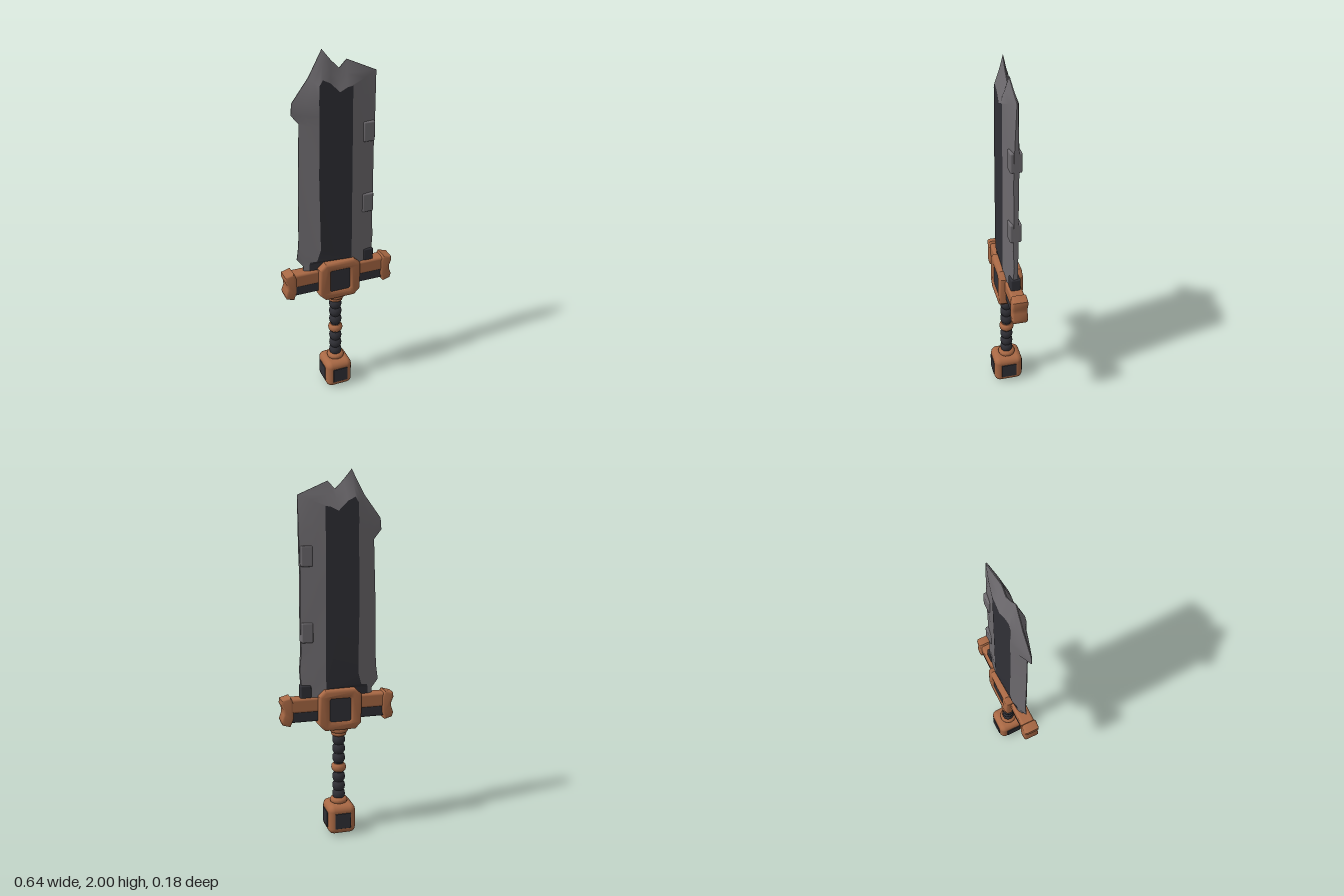
import * as THREE from 'three';
import { RoundedBoxGeometry } from 'three/addons/geometries/RoundedBoxGeometry.js';
import { toCreasedNormals } from 'three/addons/utils/BufferGeometryUtils.js';

const mat = (name, color) => {
  const m = new THREE.MeshStandardMaterial({ color });
  m.name = name;
  return m;
};

// Blade stations, clockwise: outer x, y, rim half thickness, inner x, y, z
const STATIONS = [
  [-0.20, 0.74, 0.004, -0.17, 0.74, 0.02],
  [-0.20, 0.83, 0.004, -0.17, 0.84, 0.02],
  [-0.235, 0.875, 0.002, -0.165, 0.855, 0.022],
  [-0.225, 0.95, 0.002, -0.13, 0.86, 0.034],
  [-0.222, 1.0, 0.002, -0.11, 0.93, 0.04],
  [-0.217, 1.3, 0.002, -0.115, 1.35, 0.04],
  [-0.205, 1.64, 0.002, -0.11, 1.62, 0.04],
  [-0.245, 1.69, 0.002, -0.11, 1.68, 0.04],
  [-0.24, 1.75, 0.002, -0.11, 1.75, 0.04],
  [-0.15, 1.87, 0.002, -0.108, 1.83, 0.04],
  [-0.08, 2.0, 0.001, -0.09, 1.86, 0.04],
  [-0.035, 1.945, 0.002, -0.05, 1.84, 0.04],
  [0.01, 1.9, 0.002, 0.0, 1.79, 0.04],
  [0.05, 1.94, 0.002, 0.04, 1.81, 0.04],
  [0.21, 1.87, 0.003, 0.07, 1.815, 0.04],
  [0.205, 1.6, 0.012, 0.07, 1.6, 0.04],
  [0.2, 1.45, 0.014, 0.07, 1.4, 0.04],
  [0.203, 1.25, 0.012, 0.07, 1.25, 0.04],
  [0.2, 1.05, 0.014, 0.07, 1.05, 0.04],
  [0.208, 0.95, 0.01, 0.07, 0.95, 0.04],
  [0.2, 0.85, 0.014, 0.07, 0.85, 0.04],
  [0.205, 0.74, 0.014, 0.07, 0.74, 0.04],
];

function indexed(pos, idx) {
  const g = new THREE.BufferGeometry();
  g.setAttribute('position', new THREE.Float32BufferAttribute(pos, 3));
  g.setIndex(idx);
  g.computeVertexNormals();
  return g;
}

// Hammered slope from the rim to the raised middle, on one side
function bevelGeometry(side) {
  const pos = [], idx = [], rows = 3;
  STATIONS.forEach(([ox, oy, t, ix, iy, iz], i) => {
    for (let r = 0; r < rows; r++) {
      const s = r / (rows - 1);
      const dent = r === 1 ? 0.003 * Math.sin(i * 2.4) : 0;
      pos.push(ox + (ix - ox) * s, oy + (iy - oy) * s, side * (t + (iz - t) * s + dent));
    }
    if (i === STATIONS.length - 1) return;
    for (let r = 0; r < rows - 1; r++) {
      const a = i * rows + r, b = a + 1, c = a + rows, d = c + 1;
      if (side > 0) idx.push(a, b, c, b, d, c);
      else idx.push(a, c, b, b, c, d);
    }
  });
  return indexed(pos, idx);
}

// Narrow edge joining the two slopes
function rimGeometry() {
  const pos = [], idx = [];
  STATIONS.forEach(([x, y, t], i) => {
    pos.push(x, y, -t, x, y, t);
    if (i === STATIONS.length - 1) return;
    const a = i * 2;
    idx.push(a, a + 1, a + 2, a + 1, a + 3, a + 2);
  });
  return toCreasedNormals(indexed(pos, idx), 0.6);
}

// Dark raised middle of the blade, on one side
function fullerGeometry(side) {
  const inner = STATIONS.map(s => s.slice(3)).reverse();
  const faces = THREE.ShapeUtils.triangulateShape(inner.map(p => new THREE.Vector2(p[0], p[1])), []);
  const idx = faces.flatMap(f => (side > 0 ? f : [f[0], f[2], f[1]]));
  return toCreasedNormals(indexed(inner.flatMap(p => [p[0], p[1], side * p[2]]), idx), 0.3);
}

// Rectangle with cut corners
function chamfered(Type, w, h, c) {
  const p = new Type();
  const x = w / 2, y = h / 2;
  p.setFromPoints([[-x + c, -y], [x - c, -y], [x, -y + c], [x, y - c], [x - c, y], [-x + c, y], [-x, y - c], [-x, -y + c]]
    .map(([a, b]) => new THREE.Vector2(a, b)));
  p.closePath();
  return p;
}

function extruded(shape, depth, bevel) {
  const g = new THREE.ExtrudeGeometry(shape, {
    depth: depth - 2 * bevel, bevelThickness: bevel, bevelSize: bevel, bevelOffset: -bevel, bevelSegments: 3, curveSegments: 6,
  });
  g.translate(0, 0, -depth / 2 + bevel);
  return toCreasedNormals(g, 0.7);
}

export function createModel() {
  const steel = mat('steel', 0x6d6a6e);
  const dark = mat('darkIron', 0x303036);
  const copper = mat('copper', 0xa86844);
  const root = new THREE.Group();
  root.name = 'sword';

  const add = (name, geo, material, x = 0, y = 0, z = 0) => {
    const m = new THREE.Mesh(geo, material);
    m.name = name;
    m.position.set(x, y, z);
    root.add(m);
    return m;
  };
  const box = (w, h, d, r) => new RoundedBoxGeometry(w, h, d, 3, r);

  // Blade
  for (const side of [1, -1]) {
    const label = side > 0 ? 'Front' : 'Back';
    add('bladeBevel' + label, bevelGeometry(side), steel);
    add('bladeMiddle' + label, fullerGeometry(side), dark);
  }
  add('bladeRim', rimGeometry(), steel);
  add('bladeFoot', box(0.06, 0.12, 0.054, 0.008), dark, 0.178, 0.81);
  for (const y of [1.56, 1.157]) add('bladeClip', box(0.064, 0.108, 0.062, 0.008), steel, 0.168, y);

  // Guard: copper rail over a dark bar, with flared end caps
  add('guardRail', box(0.54, 0.08, 0.076, 0.014), copper, 0, 0.762);
  add('guardBar', box(0.54, 0.085, 0.066, 0.012), dark, 0, 0.71);
  const cap = new THREE.Shape([[0.252, 0.69], [0.268, 0.648], [0.31, 0.66], [0.318, 0.685], [0.306, 0.72], [0.306, 0.745],
    [0.318, 0.775], [0.315, 0.8], [0.266, 0.814], [0.25, 0.78]].map(p => new THREE.Vector2(...p)));
  const capGeo = extruded(cap, 0.086, 0.012);
  add('guardCapLeft', capGeo, copper);
  add('guardCapRight', capGeo, copper).rotation.y = Math.PI;

  // Centre block: bevelled frame around a dark plate
  const frame = chamfered(THREE.Shape, 0.24, 0.23, 0.035);
  frame.holes.push(chamfered(THREE.Path, 0.114, 0.126, 0.006));
  add('guardFrame', extruded(frame, 0.134, 0.016), copper, -0.005, 0.73);
  add('guardPlate', box(0.138, 0.15, 0.118, 0.006), dark, -0.005, 0.73);

  // Grip: stacked ribs and collars
  const gx = -0.011;
  const ring = (name, y, h, r, material) => {
    const pts = [[0, -0.5], [0.72, -0.5], [0.93, -0.3], [1, 0], [0.93, 0.3], [0.72, 0.5], [0, 0.5]]
      .map(([a, b]) => new THREE.Vector2(a * r, b * h));
    add(name, toCreasedNormals(new THREE.LatheGeometry(pts, 16), 0.8), material, gx, y);
  };
  add('gripCore', new THREE.CylinderGeometry(0.026, 0.026, 0.42, 16), dark, gx, 0.39);
  for (const y of [0.545, 0.492, 0.438, 0.326, 0.272, 0.222]) ring('gripRib', y, 0.052, 0.036, dark);
  ring('gripBand', 0.382, 0.046, 0.042, copper);
  ring('upperCollar', 0.605, 0.036, 0.053, copper);
  ring('upperCollarStep', 0.582, 0.03, 0.043, copper);
  ring('lowerCollar', 0.187, 0.034, 0.05, copper);

  // Pommel: rounded cube with a dark plate on each side and below
  const py = 0.091, w = 0.156, h = 0.168, d = 0.168;
  add('pommel', box(w, h, d, 0.034), copper, gx - 0.002, py);
  for (const s of [1, -1]) {
    add('pommelPlate', box(0.09, 0.09, 0.008, 0.003), dark, gx - 0.002, py - 0.003, s * d / 2);
    add('pommelPlate', box(0.008, 0.09, 0.09, 0.003), dark, gx - 0.002 + s * w / 2, py - 0.003, 0);
  }
  add('pommelPlate', box(0.09, 0.008, 0.09, 0.003), dark, gx - 0.002, 0.005, 0);

  return root;
}
